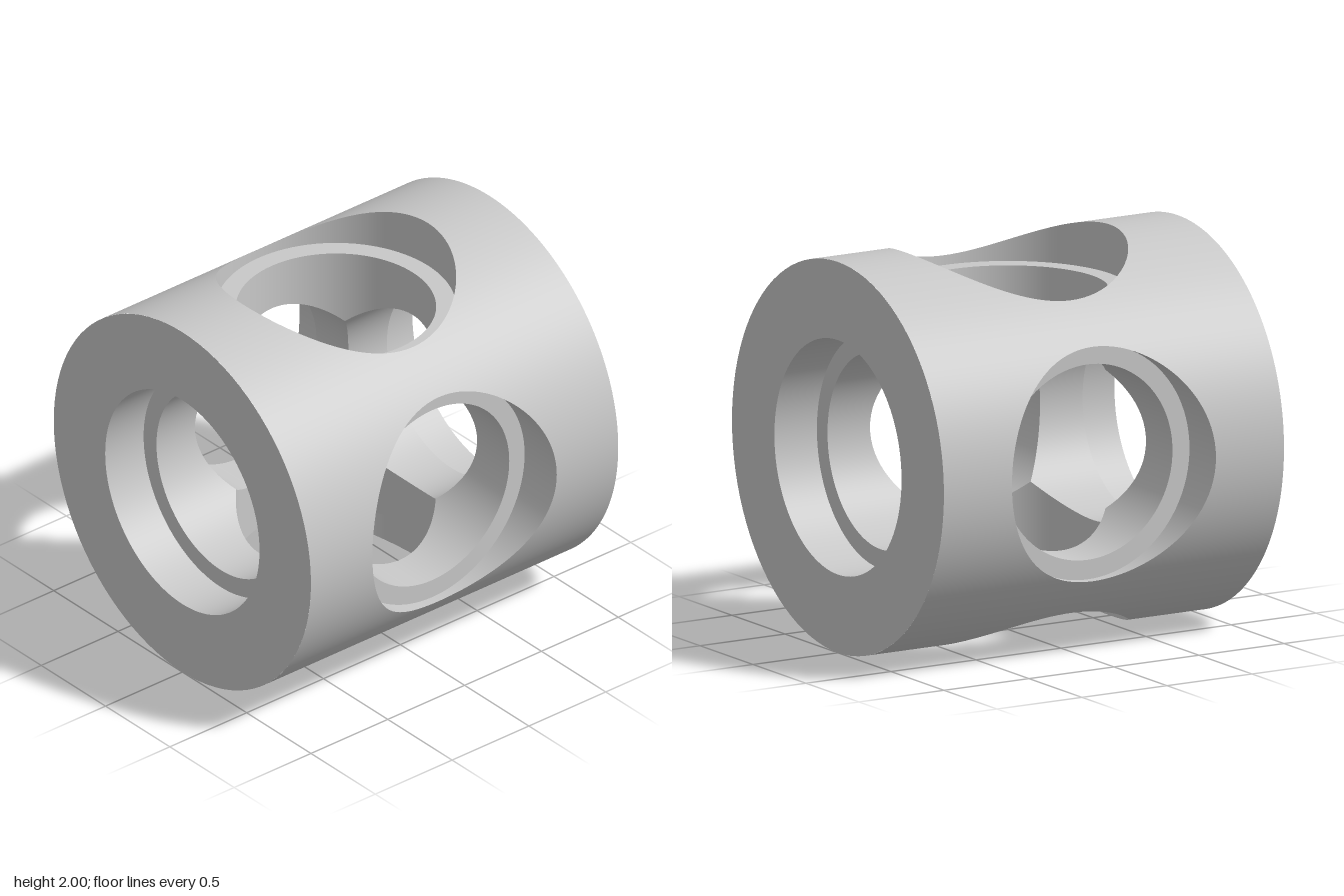
import * as THREE from 'three';

const R = 1, BORE = 0.5, RECESS = 0.6, FLOOR = 0.75, N = 96;
const TAU = Math.PI * 2;

// Ruled strip between two edge curves; normal(s) gives the outward side and the smooth shading.
function strip(samples, edgeA, edgeB, normal) {
  const pos = [], nor = [], idx = [];
  samples.forEach((s) => {
    pos.push(...edgeA(s), ...edgeB(s));
    nor.push(...normal(s), ...normal(s));
  });
  // pick the winding that agrees with the normal
  const p = (i) => new THREE.Vector3().fromArray(pos, i * 3);
  const face = p(1).sub(p(0)).cross(p(2).sub(p(0)));
  const flip = face.dot(new THREE.Vector3(...normal(samples[0]))) < 0;
  for (let i = 0; i < samples.length - 1; i++) {
    const a = i * 2, b = a + 1, c = a + 2, d = a + 3;
    if (flip) idx.push(a, c, b, b, c, d);
    else idx.push(a, b, c, b, d, c);
  }
  const g = new THREE.BufferGeometry();
  g.setAttribute('position', new THREE.Float32BufferAttribute(pos, 3));
  g.setAttribute('normal', new THREE.Float32BufferAttribute(nor, 3));
  g.setIndex(idx);
  return g;
}

const range = (n, from, to) => Array.from({ length: n + 1 }, (_, i) => from + (to - from) * i / n);
const ring = (r, height) => (t) => [r * Math.cos(t), height(t), r * Math.sin(t)];

export function createModel() {
  const model = new THREE.Group();
  model.name = 'crossBoredCylinder';
  const metal = new THREE.MeshStandardMaterial({ color: 0xc8c8c8 });
  metal.name = 'plain grey';
  const body = new THREE.Group();
  body.name = 'body';
  body.position.y = 1;
  model.add(body);

  const add = (parent, name, geometry) => {
    const m = new THREE.Mesh(geometry, metal);
    m.name = name;
    parent.add(m);
  };

  const circle = range(N, 0, TAU);
  const inward = (t) => [-Math.cos(t), 0, -Math.sin(t)];
  const up = () => [0, 1, 0];
  const floor = () => FLOOR;
  // the three bores meet along mitred curves
  const mitre = (t) => BORE * Math.max(Math.abs(Math.cos(t)), Math.abs(Math.sin(t)));

  // One stepped opening, built along +y
  function opening(name, rim) {
    const g = new THREE.Group();
    g.name = name;
    add(g, 'bore', strip(circle, ring(BORE, mitre), ring(BORE, floor), inward));
    add(g, 'recessFloor', strip(circle, ring(BORE, floor), ring(RECESS, floor), up));
    add(g, 'recessWall', strip(circle, ring(RECESS, floor), ring(RECESS, rim), inward));
    body.add(g);
    return g;
  }

  // Columns of the outer skin in one quarter: angle round the body and half width of the cut-out
  const edge = Math.asin(RECESS / R);
  const columns = [
    ...range(6, -Math.PI / 4, edge * -1).slice(0, -1).map((a) => ({ a, h: 0 })),
    ...range(N / 2, -Math.PI / 2, Math.PI / 2).map((t) => ({
      a: Math.asin(RECESS * Math.sin(t) / R), h: Math.max(0, RECESS * Math.cos(t))
    })),
    ...range(6, edge, Math.PI / 4).slice(1).map((a) => ({ a, h: 0 }))
  ];
  const radial = ({ a }) => [0, Math.cos(a), Math.sin(a)];
  const at = (x) => (c) => [x(c), R * Math.cos(c.a), R * Math.sin(c.a)];

  // Four side openings with the curved skin around each
  for (let k = 0; k < 4; k++) {
    const side = opening('sideOpening', (t) => Math.sqrt(R * R - (RECESS * Math.sin(t)) ** 2));
    for (const s of [-1, 1]) {
      add(side, 'outerSkin', strip(columns, at((c) => s * c.h), at(() => s), radial));
    }
    side.rotation.x = k * Math.PI / 2;
  }

  // Two end openings with flat ring faces
  for (const s of [-1, 1]) {
    const end = opening(s > 0 ? 'leftEnd' : 'rightEnd', () => 1);
    add(end, 'endFace', strip(circle, ring(RECESS, () => 1), ring(R, () => 1), up));
    end.rotation.z = -s * Math.PI / 2;
  }
  return model;
}
